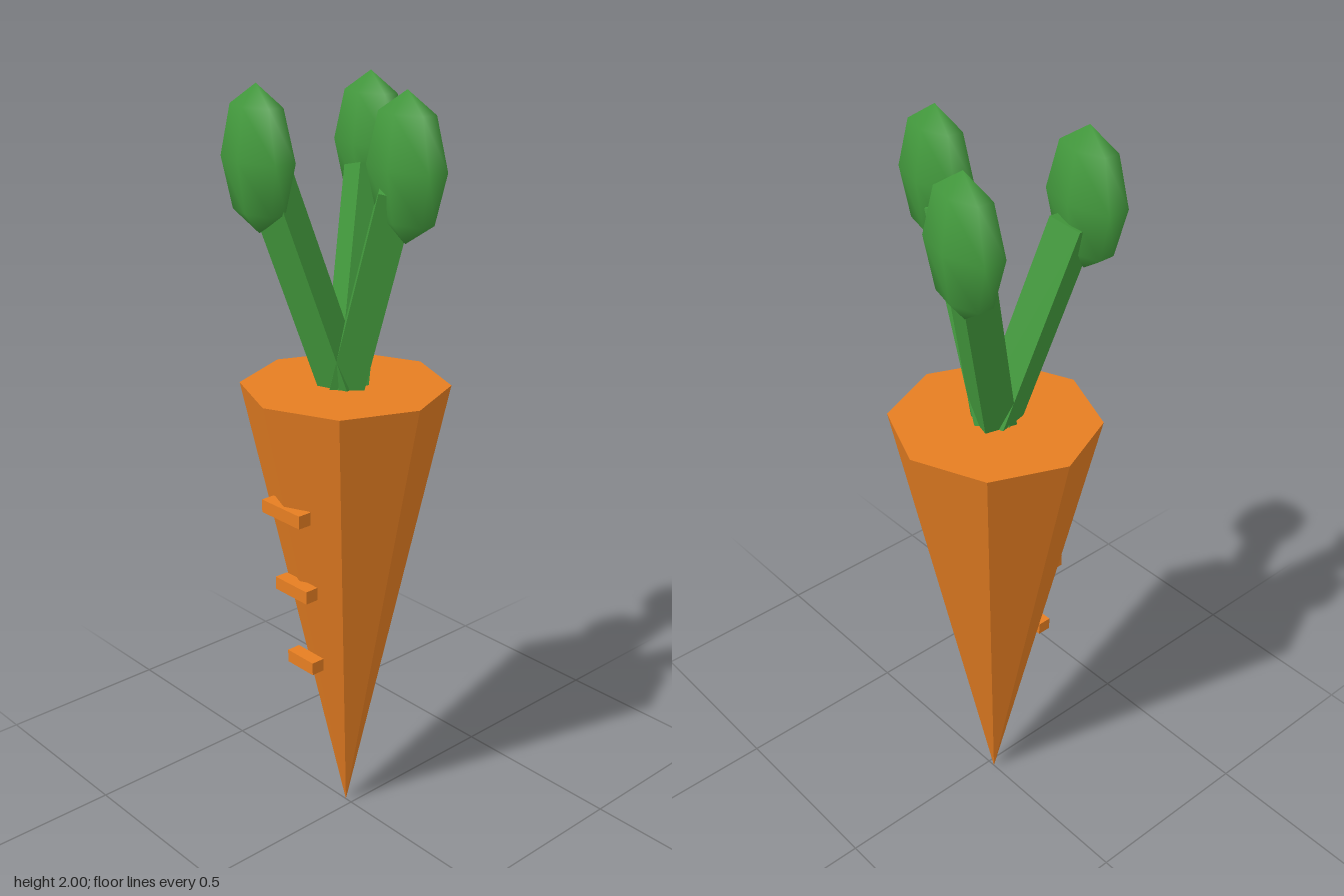
import * as THREE from 'three';

// Hard-edged copy of a geometry
function faceted(geometry) {
  const g = geometry.toNonIndexed();
  g.computeVertexNormals();
  return g;
}

export function createModel() {
  const model = new THREE.Group();
  model.name = 'carrot';

  const orange = new THREE.MeshStandardMaterial({ color: 0xe67e22 });
  orange.name = 'carrot orange';
  const green = new THREE.MeshStandardMaterial({ color: 0x449c3e });
  green.name = 'leaf green';

  const add = (name, geometry, material, x = 0, y = 0, z = 0) => {
    const mesh = new THREE.Mesh(geometry, material);
    mesh.name = name;
    mesh.position.set(x, y, z);
    model.add(mesh);
    return mesh;
  };

  const axisX = -0.022;

  // Root: eight-sided cone, point down
  const height = 1.255;
  add('root', faceted(new THREE.CylinderGeometry(0.268, 0, height, 8)), orange, axisX, height / 2, 0);

  // Ridges: three small bars stacked on the front
  const ridges = [[0.145, 0.96, 0.201], [0.122, 0.735, 0.171], [0.1, 0.511, 0.143]];
  ridges.forEach(([width, y, z], i) =>
    add(`ridge${i + 1}`, new THREE.BoxGeometry(width, 0.035, 0.038), orange, axisX, y, z));

  // Stems lean outward in three directions, each ending in a flattened leaf
  const stemLength = 0.57;
  const stemGeometry = faceted(new THREE.CylinderGeometry(0.06, 0.06, stemLength, 4));
  stemGeometry.translate(0, stemLength / 2, 0);
  stemGeometry.rotateZ(-0.323);

  const leafGeometry = new THREE.SphereGeometry(1, 6, 4);
  leafGeometry.rotateY(Math.PI / 6);
  leafGeometry.scale(0.119, 0.175, 0.06);

  for (let i = 0; i < 3; i++) {
    const angle = (i * Math.PI * 2) / 3;
    const stem = add(`stem${i + 1}`, stemGeometry, green, axisX, 1.23, 0);
    stem.rotation.y = -angle;
    add(`leaf${i + 1}`, leafGeometry, green,
      axisX + 0.209 * Math.cos(angle), 1.825, 0.209 * Math.sin(angle));
  }

  return model;
}
